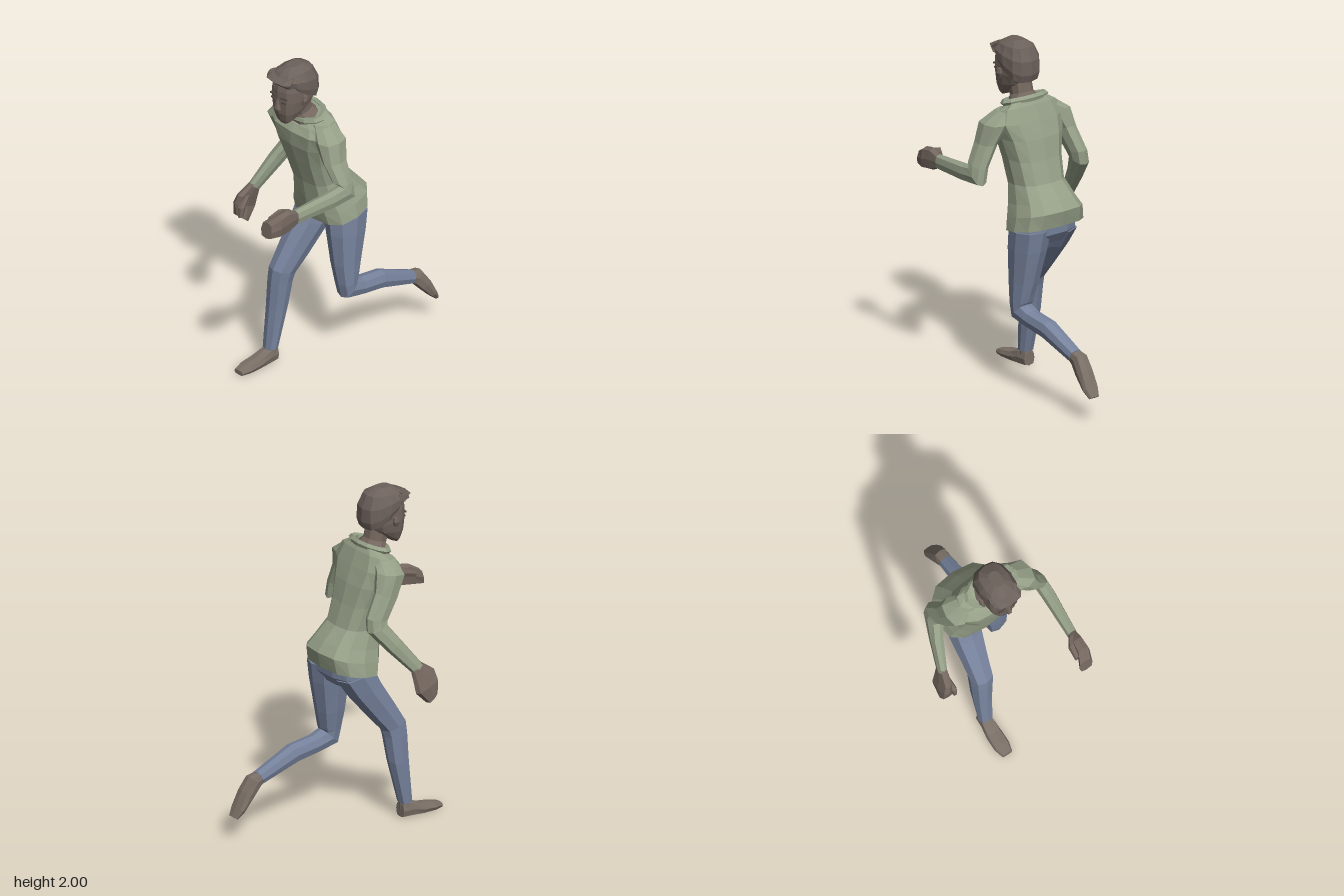
import * as THREE from 'three';

const mat = (name, color) => new THREE.MeshStandardMaterial({ name, color, flatShading: true });

// Closed loft through rings [x, y, z, halfWidth, halfDepth, tilt]; tilt turns the ring about x.
function loft(rings, sides = 8, power = 0.75) {
  const bend = (v) => Math.sign(v) * Math.pow(Math.abs(v), power);
  const pts = rings.map(([x, y, z, rx, rd, tilt = 0]) =>
    Array.from({ length: sides }, (_, i) => {
      const a = (i / sides) * Math.PI * 2;
      const d = bend(Math.sin(a)) * rd;
      return new THREE.Vector3(x + bend(Math.cos(a)) * rx, y + d * Math.sin(tilt), z + d * Math.cos(tilt));
    }));
  const centre = (r) => new THREE.Vector3(r[0], r[1], r[2]);
  const tris = [];
  const last = rings.length - 1;
  for (let j = 0; j < sides; j++) {
    const k = (j + 1) % sides;
    for (let i = 0; i < last; i++) {
      tris.push([pts[i][j], pts[i + 1][j], pts[i + 1][k]], [pts[i][j], pts[i + 1][k], pts[i][k]]);
    }
    tris.push([centre(rings[0]), pts[0][j], pts[0][k]], [centre(rings[last]), pts[last][k], pts[last][j]]);
  }
  // Turn faces outward whichever way the rings run
  const o = centre(rings[0]);
  const volume = tris.reduce((s, [a, b, c]) =>
    s + a.clone().sub(o).dot(b.clone().sub(o).cross(c.clone().sub(o))), 0);
  if (volume < 0) tris.forEach((t) => t.reverse());
  const g = new THREE.BufferGeometry().setFromPoints(tris.flat());
  g.computeVertexNormals();
  return g;
}

export function createModel() {
  const group = new THREE.Group();
  const shirt = mat('shirt green', 0x959f87);
  const denim = mat('denim blue', 0x77839d);
  const skin = mat('skin brown', 0x74675f);
  const hair = mat('hair brown', 0x6c615b);
  const shoe = mat('shoe brown', 0x7b7067);
  const dark = mat('feature brown', 0x564b46);
  const add = (name, geo, material, x = 0, y = 0, z = 0, rx = 0, ry = 0, rz = 0) => {
    const m = new THREE.Mesh(geo, material);
    m.name = name;
    m.position.set(x, y, z);
    m.rotation.set(rx, ry, rz);
    group.add(m);
    return m;
  };
  const box = (w, h, d) => new THREE.BoxGeometry(w, h, d);

  // Leaning shirt body with a flared hem
  add('shirtBody', loft([
    [0.03, 0.965, -0.05, 0.222, 0.16, -0.2],
    [0.03, 1.045, -0.05, 0.205, 0.182, -0.25],
    [0.03, 1.11, -0.02, 0.178, 0.165, -0.2],
    [0.03, 1.21, 0.03, 0.152, 0.132, -0.1],
    [0.025, 1.35, 0.075, 0.165, 0.135],
    [0.02, 1.47, 0.108, 0.195, 0.138],
    [0.025, 1.565, 0.13, 0.225, 0.125],
    [0.025, 1.63, 0.133, 0.19, 0.095, -0.25],
    [0.025, 1.66, 0.135, 0.12, 0.075, -0.5],
  ], 12, 0.7), shirt);

  // Collar roll around the neck
  const collar = add('collar', new THREE.TorusGeometry(0.115, 0.022, 5, 12), shirt, 0.025, 1.665, 0.14, Math.PI / 2 + 0.3);
  collar.scale.set(1.15, 0.72, 0.9);

  // Sleeves
  add('leftSleeve', loft([
    [0.16, 1.63, 0.13, 0.06, 0.06],
    [0.235, 1.565, 0.145, 0.075, 0.09],
    [0.285, 1.45, 0.16, 0.05, 0.075],
    [0.345, 1.335, 0.155, 0.045, 0.065, 0.2],
    [0.362, 1.275, 0.14, 0.042, 0.07, 0.8],
    [0.36, 1.265, 0.25, 0.04, 0.05, 1.5],
    [0.34, 1.25, 0.51, 0.03, 0.043, 1.57],
  ]), shirt);
  add('rightSleeve', loft([
    [-0.11, 1.63, 0.13, 0.06, 0.06],
    [-0.185, 1.565, 0.12, 0.065, 0.09, -0.2],
    [-0.215, 1.45, 0.07, 0.045, 0.075, -0.4],
    [-0.235, 1.33, -0.01, 0.043, 0.068, -0.25],
    [-0.245, 1.28, -0.015, 0.043, 0.065, 0.2],
    [-0.285, 1.17, 0.07, 0.037, 0.052, 0.65],
    [-0.335, 1.01, 0.2, 0.026, 0.04, 0.65],
  ]), shirt);

  // Loosely curled hands and thumbs
  add('leftHand', loft([
    [0.34, 1.25, 0.5, 0.026, 0.036, 1.57],
    [0.335, 1.25, 0.57, 0.034, 0.066, 1.57],
    [0.33, 1.24, 0.64, 0.04, 0.066, 1.65],
    [0.305, 1.225, 0.7, 0.043, 0.048, 1.75],
  ], 8, 0.6), skin);
  add('leftThumb', loft([
    [0.32, 1.28, 0.53, 0.02, 0.02, 1.57],
    [0.29, 1.28, 0.58, 0.022, 0.024, 1.57],
    [0.28, 1.26, 0.65, 0.016, 0.02, 1.57],
  ], 6), skin);
  add('rightHand', loft([
    [-0.332, 1.03, 0.19, 0.022, 0.034, 0.5],
    [-0.35, 0.96, 0.235, 0.028, 0.075, 0.35],
    [-0.365, 0.9, 0.245, 0.032, 0.08, 0.4],
    [-0.36, 0.825, 0.275, 0.04, 0.042, 0.7],
  ], 8, 0.6), skin);
  add('rightThumb', loft([
    [-0.335, 0.98, 0.25, 0.018, 0.02],
    [-0.325, 0.92, 0.3, 0.018, 0.022],
    [-0.325, 0.86, 0.31, 0.013, 0.015],
  ], 6), skin);

  // Trousers: hips, bent trailing leg, striding front leg
  add('hips', loft([
    [0.045, 0.88, -0.045, 0.14, 0.085],
    [0.045, 0.93, -0.05, 0.195, 0.125, -0.1],
    [0.035, 1.02, -0.04, 0.19, 0.14, -0.2],
  ], 10), denim);
  add('leftTrouserLeg', loft([
    [0.145, 0.96, -0.06, 0.1, 0.125, -0.1],
    [0.155, 0.85, -0.05, 0.092, 0.115],
    [0.17, 0.65, -0.035, 0.073, 0.085],
    [0.182, 0.53, -0.03, 0.062, 0.062, -0.15],
    [0.184, 0.48, -0.035, 0.058, 0.066, -0.8],
    [0.185, 0.455, -0.13, 0.055, 0.05, -1.45],
    [0.187, 0.435, -0.28, 0.053, 0.053, -1.33],
    [0.19, 0.345, -0.52, 0.042, 0.038, -1.2],
  ]), denim);
  add('rightTrouserLeg', loft([
    [-0.06, 0.95, -0.04, 0.1, 0.12, 0.2],
    [-0.063, 0.85, 0.02, 0.095, 0.105, 0.35],
    [-0.075, 0.7, 0.13, 0.078, 0.088, 0.6],
    [-0.085, 0.58, 0.215, 0.066, 0.076, 0.35],
    [-0.09, 0.52, 0.225, 0.062, 0.07, 0.1],
    [-0.097, 0.35, 0.243, 0.054, 0.062, -0.1],
    [-0.103, 0.09, 0.288, 0.042, 0.038],
  ]), denim);

  // Shoes
  add('leftShoe', loft([
    [0.19, 0.352, -0.5, 0.036, 0.032, -1.1],
    [0.19, 0.335, -0.555, 0.042, 0.046, -0.75],
    [0.193, 0.27, -0.605, 0.048, 0.04, -0.6],
    [0.193, 0.19, -0.66, 0.05, 0.024, -0.55],
    [0.193, 0.145, -0.695, 0.034, 0.014, -0.55],
  ], 8, 0.6), shoe);
  add('rightShoe', loft([
    [-0.104, 0.045, 0.255, 0.037, 0.042, 1.57],
    [-0.105, 0.045, 0.32, 0.041, 0.045, 1.57],
    [-0.11, 0.03, 0.39, 0.048, 0.03, 1.57],
    [-0.112, 0.023, 0.47, 0.048, 0.023, 1.57],
    [-0.112, 0.017, 0.525, 0.033, 0.015, 1.57],
  ], 8, 0.6), shoe);
  add('rightAnkle', loft([
    [-0.104, 0.05, 0.287, 0.037, 0.034],
    [-0.103, 0.12, 0.285, 0.034, 0.032],
  ]), shoe);

  // Neck and head
  add('neck', loft([
    [0.025, 1.635, 0.145, 0.105, 0.08, -0.4],
    [0.02, 1.69, 0.17, 0.062, 0.062, -0.3],
    [0.02, 1.78, 0.195, 0.06, 0.068, -0.2],
  ], 10), skin);
  add('head', loft([
    [0.02, 1.655, 0.29, 0.036, 0.026, -0.3],
    [0.02, 1.685, 0.262, 0.062, 0.066, -0.35],
    [0.02, 1.735, 0.24, 0.084, 0.103, -0.15],
    [0.02, 1.8, 0.225, 0.097, 0.124],
    [0.02, 1.87, 0.218, 0.1, 0.13],
    [0.02, 1.94, 0.22, 0.09, 0.115],
    [0.02, 1.975, 0.22, 0.05, 0.07],
  ], 12), skin);

  // Hair cap, low at the nape, with a swept fringe
  add('hair', loft([
    [0.02, 1.82, 0.195, 0.1, 0.115, 0.45],
    [0.02, 1.865, 0.205, 0.109, 0.138, 0.38],
    [0.02, 1.92, 0.213, 0.106, 0.136, 0.18],
    [0.02, 1.97, 0.217, 0.082, 0.105],
    [0.02, 2.0, 0.22, 0.035, 0.05],
  ], 12), hair);
  add('fringe', loft([
    [-0.065, 1.925, 0.31, 0.02, 0.035, 0.1],
    [-0.06, 1.955, 0.305, 0.02, 0.03],
  ], 6), hair);
  add('fringeRoll', loft([
    [0.02, 1.905, 0.32, 0.085, 0.03, 0.2],
    [0.02, 1.935, 0.335, 0.09, 0.046, 0.15],
    [0.02, 1.962, 0.3, 0.08, 0.045, -0.2],
  ], 8), hair);

  // Face, mirrored about the middle of the head
  for (const s of [-1, 1]) {
    const side = s > 0 ? 'left' : 'right';
    add(side + 'Ear', loft([
      [0.02 + s * 0.102, 1.78, 0.245, 0.008, 0.012],
      [0.02 + s * 0.109, 1.81, 0.238, 0.014, 0.02],
      [0.02 + s * 0.109, 1.838, 0.235, 0.01, 0.015],
    ], 6), skin);
    add(side + 'Eye', box(0.032, 0.01, 0.008), dark, 0.02 + s * 0.044, 1.805, 0.341, 0, s * 0.2);
    add(side + 'Brow', box(0.046, 0.009, 0.009), dark, 0.02 + s * 0.044, 1.832, 0.342, 0, s * 0.2);
  }
  add('nose', loft([
    [0.02, 1.745, 0.34, 0.02, 0.016],
    [0.02, 1.757, 0.343, 0.018, 0.024],
    [0.02, 1.82, 0.34, 0.009, 0.012],
  ], 6), skin);
  add('mouth', box(0.06, 0.01, 0.009), dark, 0.02, 1.713, 0.333);

  return group;
}
